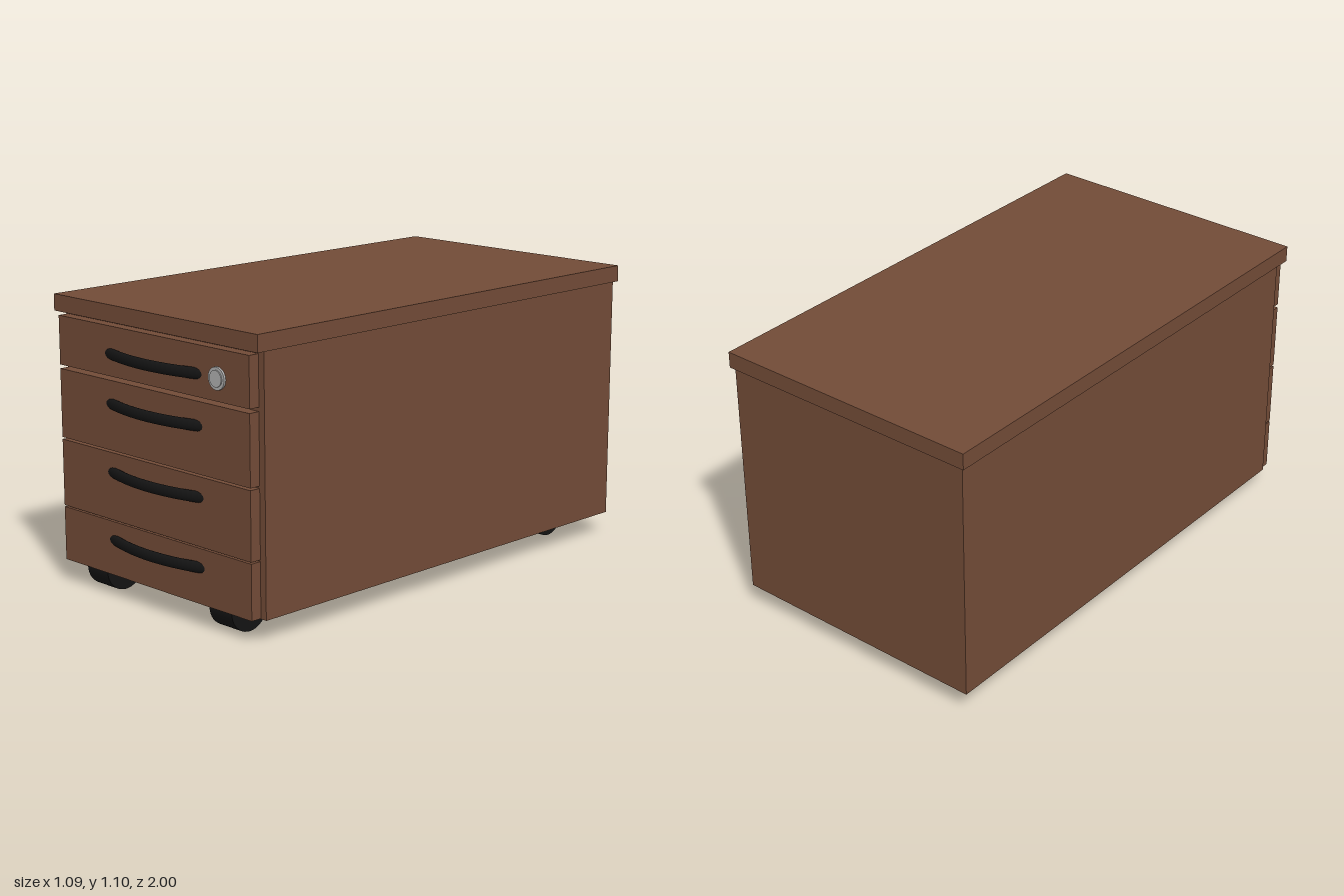
import * as THREE from 'three';

const wood = new THREE.MeshStandardMaterial({ color: 0x724b37 });
const black = new THREE.MeshStandardMaterial({ color: 0x141414 });
const metal = new THREE.MeshStandardMaterial({ color: 0xb0b0b0 });

export function createModel() {
  const model = new THREE.Group();

  const add = (name, geometry, material, x = 0, y = 0, z = 0) => {
    const mesh = new THREE.Mesh(geometry, material);
    mesh.name = name;
    mesh.position.set(x, y, z);
    model.add(mesh);
    return mesh;
  };

  // Box given by its limits on each axis
  const addBox = (name, [x0, x1], [y0, y1], [z0, z1]) =>
    add(name, new THREE.BoxGeometry(x1 - x0, y1 - y0, z1 - z0), wood,
      (x0 + x1) / 2, (y0 + y1) / 2, (z0 + z1) / 2);

  // Carcass and overhanging top
  addBox('cabinetBody', [-0.532, 0.53], [0.085, 1.037], [-0.988, 0.914]);
  addBox('topPanel', [-0.547, 0.545], [1.037, 1.1], [-1, 0.957]);

  // Shallow bowed handle: an arc of a large flattened ring, ends sunk in the drawer
  const radius = 0.8, tube = 0.0125, halfAngle = 0.34;
  const handle = new THREE.TorusGeometry(radius, tube, 16, 40, 2 * halfAngle);
  handle.rotateZ(Math.PI / 2 - halfAngle);
  handle.rotateX(Math.PI / 2);
  handle.scale(1, 0.021 / tube, 1);

  // Drawer fronts: bottom, top and handle height
  const drawers = [
    [0.838, 1.023, 0.92],
    [0.562, 0.823, 0.735],
    [0.299, 0.554, 0.478],
    [0.087, 0.293, 0.221],
  ];
  drawers.forEach(([bottom, top, handleY], i) => {
    addBox(`drawerFront${i + 1}`, [-0.522, 0.503], [bottom, top], [0.914, 0.957]);
    add(`drawerHandle${i + 1}`, handle, black, 0.002, handleY, 1 - radius - tube);
  });

  // Lock on the top drawer: outer ring with a slightly raised core
  const disc = (r, depth) => new THREE.CylinderGeometry(r, r, depth, 32).rotateX(Math.PI / 2);
  add('lockRing', disc(0.041, 0.02), metal, 0.345, 0.92, 0.955);
  add('lockCore', disc(0.03, 0.02), metal, 0.345, 0.92, 0.959);

  // Four rollers, half sunk into the underside
  const roller = new THREE.CylinderGeometry(0.0855, 0.0855, 0.116, 40).rotateZ(Math.PI / 2);
  for (const x of [-0.348, 0.331]) {
    for (const z of [0.861, -0.791]) add('roller', roller, black, x, 0.0855, z);
  }

  return model;
}
